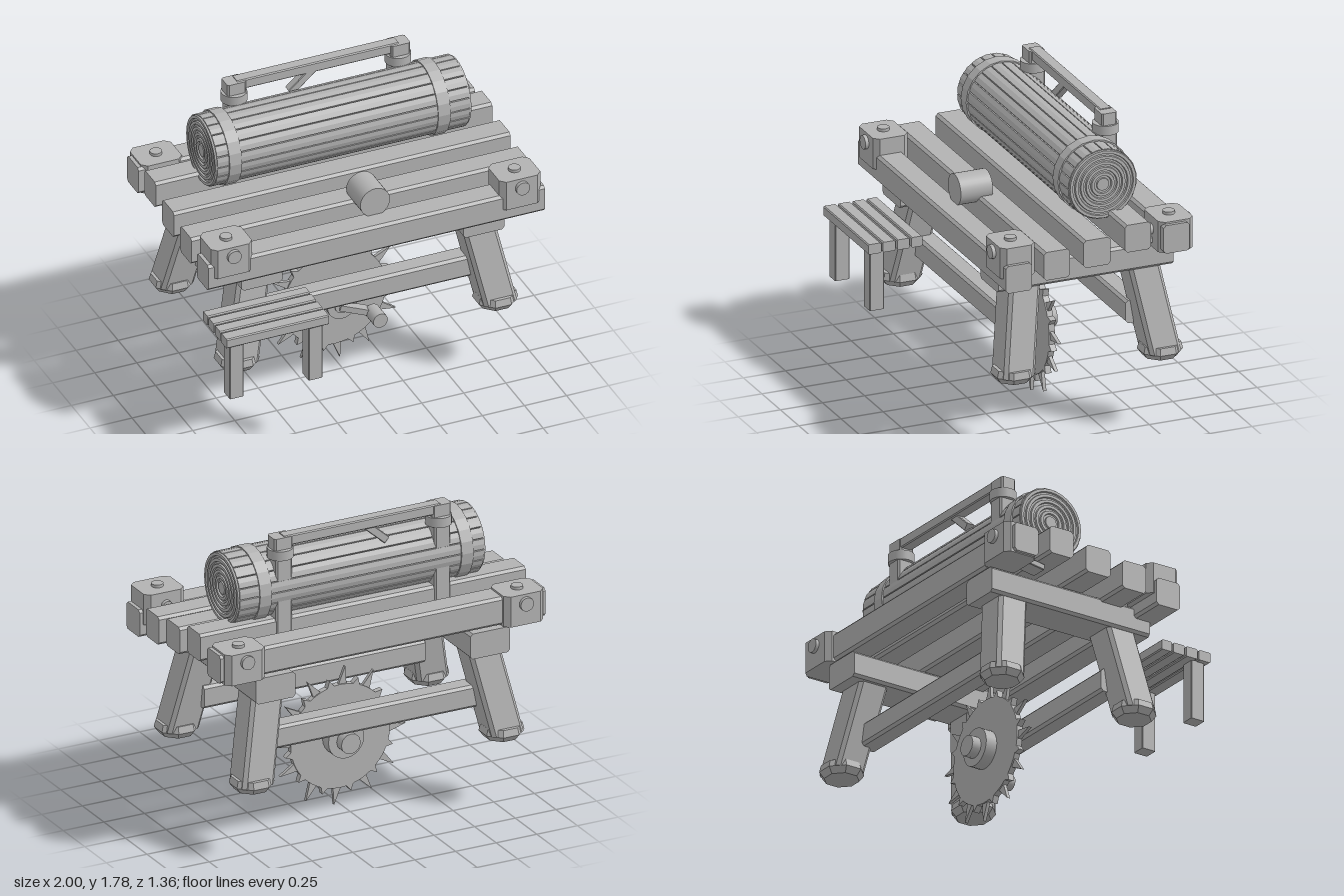
import * as THREE from 'three';

export function createModel() {
  const model = new THREE.Group();
  const wood = new THREE.MeshStandardMaterial({ color: 0xb2b2b2 });
  wood.name = 'plain grey';

  const add = (name, geo, x = 0, y = 0, z = 0) => {
    const mesh = new THREE.Mesh(geo, wood);
    mesh.name = name;
    mesh.position.set(x, y, z);
    model.add(mesh);
    return mesh;
  };
  const flat = (geo) => {
    const g = geo.toNonIndexed();
    g.computeVertexNormals();
    return g;
  };
  const polygon = (pts) => new THREE.Shape(pts.map(([x, y]) => new THREE.Vector2(x, y)));

  // Box with its four long edges chamfered, centred, running along one axis
  function timber(w, h, d, axis, c) {
    const [a, b, len] = axis === 'x' ? [d, h, w] : axis === 'y' ? [w, d, h] : [w, h, d];
    const u = a / 2, v = b / 2;
    const geo = new THREE.ExtrudeGeometry(polygon([
      [u - c, -v], [u, -v + c], [u, v - c], [u - c, v],
      [-u + c, v], [-u, v - c], [-u, -v + c], [-u + c, -v]
    ]), { depth: len, bevelEnabled: false });
    geo.translate(0, 0, -len / 2);
    if (axis === 'x') geo.rotateY(Math.PI / 2);
    if (axis === 'y') geo.rotateX(Math.PI / 2);
    return geo;
  }
  // Timber given by its extents
  const beam = (name, [x0, x1], [y0, y1], [z0, z1], axis = 'x', c = 0.015) =>
    add(name, timber(x1 - x0, y1 - y0, z1 - z0, axis, c), (x0 + x1) / 2, (y0 + y1) / 2, (z0 + z1) / 2);
  // Cylinder along z between two depths
  const drum = (name, r, x, y, z0, z1, sides = 24) =>
    add(name, new THREE.CylinderGeometry(r, r, z1 - z0, sides).rotateX(Math.PI / 2), x, y, (z0 + z1) / 2);

  // Table top planks, stepping up towards the back
  [
    [1.02, 1.18, 0.305, 0.46], [1.06, 1.225, 0.08, 0.235], [1.095, 1.255, -0.16, 0],
    [1.145, 1.305, -0.4, -0.245], [1.1, 1.265, -0.63, -0.475]
  ].forEach(([y0, y1, z0, z1]) => beam('plank', [-1, 1], [y0, y1], [z0, z1]));

  for (const s of [-1, 1]) {
    beam('crossBeam', [s * 0.66 - 0.122, s * 0.66 + 0.122], [0.935, 1.085], [-0.63, 0.41], 'z');

    // Corner blocks with bolts on the top and the outer face
    for (const [z0, z1, out] of [[0.27, 0.475, 1], [-0.67, -0.465, -1]]) {
      const zc = (z0 + z1) / 2, x = s * 0.857;
      beam('cornerBlock', [x - 0.122, x + 0.122], [1.095, 1.275], [z0, z1], 'y', 0.03);
      add('topBolt', new THREE.CylinderGeometry(0.034, 0.034, 0.03, 16), x, 1.277, zc);
      const face = out > 0 ? z1 : z0;
      drum('faceBolt', 0.04, x, 1.22, face - 0.02, face + 0.02, 16);
      const inner = out > 0 ? z0 : z1;
      drum('innerBolt', 0.03, x, 1.2, inner - 0.025, inner + 0.025, 16);
    }
    // Wedge holding the back planks
    beam('wedge', [s * 0.82 - 0.05, s * 0.82 + 0.05], [1.11, 1.145], [-0.47, -0.345], 'z', 0.004)
      .rotation.x = 0.15;

    // Splayed legs with flared feet
    for (const [zTop, zBottom] of [[0.23, 0.315], [-0.46, -0.555]]) {
      const top = new THREE.Vector3(s * 0.655, 1.0, zTop), low = new THREE.Vector3(s * 0.768, 0.45, zBottom);
      const leg = timber(0.195, 0.55, 0.185, 'y', 0.02);
      const p = leg.attributes.position;
      for (let i = 0; i < p.count; i++) {
        const t = p.getY(i) / 0.55 + 0.5, q = low.clone().lerp(top, t);
        p.setXYZ(i, p.getX(i) + q.x, q.y, p.getZ(i) + q.z);
      }
      leg.computeVertexNormals();
      add('leg', leg);
      const foot = new THREE.CylinderGeometry(0.115, 0.125, 0.04, 8).rotateY(Math.PI / 8);
      add('footCollar', flat(foot), low.x, 0.47, low.z);
      const sole = new THREE.CylinderGeometry(0.125, 0.098, 0.035, 8).rotateY(Math.PI / 8);
      add('footSole', flat(sole), low.x, 0.4325, low.z);
    }
  }

  // Long stretchers between the legs
  beam('frontStretcher', [-0.68, 0.68], [0.587, 0.72], [0.16, 0.28]);
  beam('backStretcher', [-0.68, 0.68], [0.587, 0.72], [-0.51, -0.39]);

  // Log body made of staves with grooves between them
  const logY = 1.468, logZ = -0.215, staves = 20, section = [];
  for (let i = 0; i < staves; i++) {
    const step = (Math.PI * 2) / staves;
    for (const [f, r] of [[0, 0.19], [0.05, 0.202], [0.5, 0.204], [0.95, 0.202]]) {
      const a = (i + f) * step;
      section.push([Math.cos(a) * r, Math.sin(a) * r]);
    }
  }
  const logGeo = new THREE.ExtrudeGeometry(polygon(section), { depth: 1.5, bevelEnabled: false });
  logGeo.translate(0, 0, -0.75).rotateY(Math.PI / 2);
  add('log', logGeo, 0.015, logY, logZ);

  for (const s of [-1, 1]) {
    // Growth rings and rim on each end of the log
    const profile = [[0, 0.008], [0.035, 0.008], [0.037, 0]];
    for (const r of [0.058, 0.09, 0.122, 0.154, 0.186]) {
      profile.push([r - 0.009, 0], [r - 0.006, 0.01], [r + 0.01, 0.01], [r + 0.013, 0]);
    }
    const rings = new THREE.LatheGeometry(profile.reverse().map(([r, y]) => new THREE.Vector2(r, y)), 32);
    const end = add('endRings', flat(rings), 0.015 + s * 0.751, logY, logZ);
    end.rotation.z = -s * Math.PI / 2;

    // Hoop around the log
    const hoop = new THREE.CylinderGeometry(0.212, 0.212, 0.073, staves).rotateZ(Math.PI / 2);
    add('hoop', flat(hoop), -0.01 + s * 0.62, logY, logZ);

    // Handle post with collar and head
    const x = s * 0.487;
    beam('handlePost', [x - 0.05, x + 0.05], [1.2, 1.7], [-0.407, -0.31], 'y', 0.01);
    add('postCollar', new THREE.CylinderGeometry(0.073, 0.073, 0.055, 24), x, 1.68, -0.355);
    beam('postHead', [x - 0.057, x + 0.057], [1.7, 1.777], [-0.4, -0.31], 'y', 0.01);
  }

  // Handle bar and its slanted brace
  beam('handleBar', [-0.48, 0.48], [1.722, 1.782], [-0.395, -0.325], 'x', 0.006);
  add('handleBrace', timber(0.2, 0.045, 0.05, 'x', 0.004), -0.085, 1.69, -0.35).rotation.z = 0.72;

  // Round peg lying on the front planks
  drum('peg', 0.088, 0.042, 1.257, 0.155, 0.345, 32);

  // Saw blade: disc with short teeth, plus long thin spikes
  const sawY = 0.405, teeth = 12, outline = [];
  const polar = (r, a) => [Math.cos(a) * r, Math.sin(a) * r];
  for (let i = 0; i < teeth; i++) {
    const a = (i / teeth) * Math.PI * 2 + 0.05, k = Math.PI / 180;
    outline.push(polar(0.305, a), polar(0.305, a + 6 * k), polar(0.305, a + 12 * k),
      polar(0.342, a + 16 * k), polar(0.305, a + 20 * k), polar(0.305, a + 25 * k));
    const spike = polygon([polar(0.29, a - 5.5 * k), polar(0.405, a + (i % 2 ? 2 : -2) * k), polar(0.29, a + 5.5 * k)]);
    add('spike', new THREE.ExtrudeGeometry(spike, { depth: 0.02, bevelEnabled: false }), 0, sawY, -0.128);
  }
  add('sawBlade', new THREE.ExtrudeGeometry(polygon(outline), { depth: 0.035, bevelEnabled: false }), 0, sawY, -0.136);

  // Hubs and axle
  drum('backHub', 0.11, 0, sawY + 0.005, -0.205, -0.135);
  drum('axleEnd', 0.06, 0, sawY, -0.26, -0.205, 12);
  drum('axle', 0.06, 0, sawY, -0.105, -0.055);
  drum('frontHub', 0.088, 0, sawY + 0.003, -0.06, 0);
  drum('hubCap', 0.045, 0, sawY, -0.01, 0.008);

  // Crank arm and grip
  const a = new THREE.Vector3(-0.015, 0.405, 0.0), b = new THREE.Vector3(0.175, 0.345, 0.045);
  const arm = add('crankArm', new THREE.BoxGeometry(0.055, 0.035, a.distanceTo(b)));
  arm.position.copy(a).add(b).multiplyScalar(0.5);
  arm.lookAt(b);
  drum('crankGrip', 0.043, 0.163, 0.347, 0.03, 0.145, 20);

  // Small side bench: four slats on two front legs
  for (const [z0, z1] of [[0.595, 0.672], [0.511, 0.585], [0.427, 0.5], [0.35, 0.416]]) {
    beam('benchSlat', [-0.985, -0.377], [0.768, 0.827], [z0, z1], 'x', 0.006);
  }
  for (const x of [-0.915, -0.447]) {
    beam('benchLeg', [x - 0.041, x + 0.041], [0.423, 0.772], [0.565, 0.65], 'y', 0.004);
  }

  return model;
}
